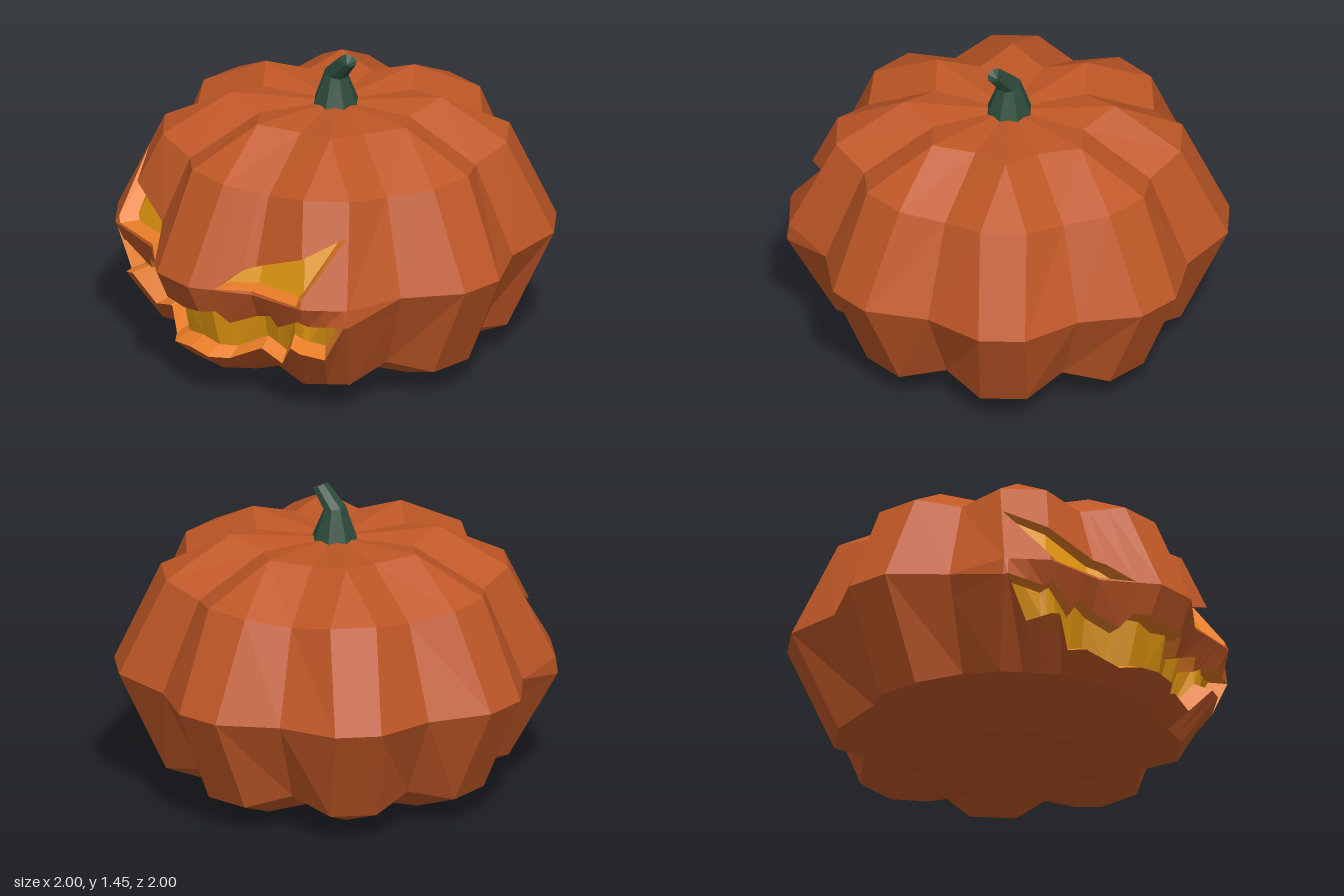
import * as THREE from 'three';

const mat = (name, color) => new THREE.MeshStandardMaterial({ name, color });
const lerp = (a, b, t) => a + (b - a) * t;
const mix = (p, q, t) => p.map((v, i) => lerp(v, q[i], t));

// Collects separate triangles (so shading stays flat), optionally mirrored in x.
class Facets {
  constructor(mirror) { this.mirror = mirror; this.pos = []; }
  tri(a, b, c) {
    const [A, B, C] = [a, b, c].map((p) => new THREE.Vector3(...p));
    if (B.sub(A).cross(C.sub(A)).length() < 1e-7) return;
    this.pos.push(...a, ...b, ...c);
    if (this.mirror) for (const p of [a, c, b]) this.pos.push(-p[0], p[1], p[2]);
  }
  quad(a, b, c, d) { this.tri(a, b, c); this.tri(a, c, d); }
  mesh(name, material) {
    const g = new THREE.BufferGeometry();
    g.setAttribute('position', new THREE.Float32BufferAttribute(this.pos, 3));
    g.computeVertexNormals();
    const m = new THREE.Mesh(g, material);
    m.name = name;
    return m;
  }
}

// Half ring from front centre to back centre: flat-topped ribs with valleys between.
function halfRing([R, w, y, valleyR, valleyY]) {
  const pts = [];
  for (let l = 0; l <= 4; l++) {
    const a = (l * Math.PI) / 4, s = Math.sin(a), c = Math.cos(a);
    const sides = l === 0 ? [0, 1] : l === 4 ? [-1, 0] : [-1, 1];
    for (const k of sides) pts.push([R * s + k * w * c, y, R * c - k * w * s]);
    if (l < 4) {
      const v = a + Math.PI / 8;
      pts.push([valleyR * Math.sin(v), valleyY, valleyR * Math.cos(v)]);
    }
  }
  return pts;
}

// rib radius, rib half width, rib height, valley radius, valley height
const rings = [
  [0, 0, 0.02, 0, 0.02],
  [0.48, 0, 0, 0.37, 0.035],
  [0.785, 0.106, 0.14, 0.69, 0.19],
  [1, 0.106, 0.61, 0.893, 0.6],
  [0.785, 0.106, 1.06, 0.705, 1.02],
  [0.48, 0, 1.23, 0.37, 1.195],
  [0, 0, 1.2, 0, 1.2],
].map(halfRing);
const LAST = rings[0].length - 1;

function ringAt(r, u) {
  const i = Math.min(Math.floor(u), LAST - 1);
  return mix(rings[r][i], rings[r][i + 1], u - i);
}
// Point on a row of panels at position u and height y, pushed out by k.
function skinAt(row, u, y, k) {
  const a = ringAt(row, u), b = ringAt(row + 1, u);
  const p = mix(a, b, (y - a[1]) / (b[1] - a[1]));
  return [p[0] * k, y, p[2] * k];
}
// Turns [x, y, k] outline points into [u, y, k] on the panels.
const outline = (row, pts) => pts.map(([x, y, k = 1]) => {
  let lo = 0, hi = 5;
  for (let i = 0; i < 40; i++) {
    const m = (lo + hi) / 2;
    if (skinAt(row, m, y, k)[0] < x) lo = m; else hi = m;
  }
  return [lo, y, k];
});
function along(curve, u) {
  if (u <= curve[0][0]) return curve[0];
  for (let i = 1; i < curve.length; i++) {
    const p = curve[i - 1], q = curve[i];
    if (u <= q[0]) return mix(p, q, (u - p[0]) / Math.max(q[0] - p[0], 1e-9));
  }
  return curve[curve.length - 1];
}

// Carved openings, keyed by panel row; the mouth's last point blends its lip into the side.
const holes = {
  2: {
    name: 'mouth', lift: 0.035,
    top: [[0, 0.45], [0.17, 0.475], [0.2, 0.41], [0.41, 0.5], [0.43, 0.44],
      [0.59, 0.53], [0.62, 0.505], [0.78, 0.53, 1.05], [9, 0.5]],
    bottom: [[0, 0.24, 1.07], [0.18, 0.22, 1.07], [0.31, 0.29, 1.07], [0.43, 0.25, 1.07],
      [0.54, 0.38, 1.07], [0.66, 0.33, 1.07], [0.78, 0.53, 1.05], [9, 0.5]],
  },
  3: {
    name: 'eyes', lift: 0.01,
    top: [[0.2, 0.612], [0.28, 0.7], [0.676, 0.915]],
    bottom: [[0.2, 0.612], [0.6, 0.618], [0.676, 0.915]],
  },
};

export function createModel() {
  const skinMat = mat('orange skin', 0xbf5726);
  const fleshMat = mat('cut flesh', 0xe67c26);
  const glowMat = mat('yellow glow', 0xdd930f);
  const stemMat = mat('dark green stem', 0x2c4a3a);
  const group = new THREE.Group();
  group.name = 'carvedPumpkin';
  const skin = new Facets(true);

  for (let row = 0; row < rings.length - 1; row++) {
    const hole = holes[row];
    let us = Array.from({ length: LAST + 1 }, (_, i) => i);
    let top, bottom, flesh, glow;
    if (hole) {
      top = outline(row, hole.top);
      bottom = outline(row, hole.bottom);
      us.push(...top.map((p) => p[0]), ...bottom.map((p) => p[0]));
      us = us.sort((a, b) => a - b).filter((u, i, a) => i === 0 || u - a[i - 1] > 1e-4);
      flesh = new Facets(true);
      glow = new Facets(true);
    }
    // Outer and inner edge of the opening at u
    const edge = (u) => {
      const t = along(top, u), b = along(bottom, u);
      const T = skinAt(row, u, t[1], t[2]), B = skinAt(row, u, b[1], b[2]);
      const rise = hole.lift * Math.min(1, Math.max(0, t[1] - b[1]) / 0.1);
      const inward = (p, dy) => [p[0] * 0.91, p[1] + dy, p[2] * 0.91];
      return { T, B, Ti: inward(T, 0), Bi: inward(B, rise), gap: t[1] - b[1] };
    };
    for (let i = 0; i < us.length - 1; i++) {
      const u0 = us[i], u1 = us[i + 1], mid = (u0 + u1) / 2;
      const a = ringAt(row, u0), b = ringAt(row, u1);
      const c = ringAt(row + 1, u1), d = ringAt(row + 1, u0);
      if (!hole || mid < top[0][0] || mid > top[top.length - 1][0]) {
        skin.quad(a, b, c, d);
        continue;
      }
      const p = edge(u0), q = edge(u1);
      skin.quad(a, b, q.B, p.B);
      skin.quad(p.T, q.T, c, d);
      if (edge(mid).gap < 0.002) continue;
      flesh.quad(p.B, q.B, q.Bi, p.Bi);
      flesh.quad(p.Ti, q.Ti, q.T, p.T);
      glow.quad(p.Bi, q.Bi, q.Ti, p.Ti);
    }
    if (hole) {
      group.add(flesh.mesh(hole.name + 'Rim', fleshMat), glow.mesh(hole.name + 'Glow', glowMat));
    }
  }
  group.add(skin.mesh('pumpkinSkin', skinMat));

  // Bent, tapering stem with a hollow tip: centre x, centre y, radius, tilt
  const stem = new Facets(false), N = 8;
  const loops = [[0, 1.19, 0.105, 0], [0, 1.34, 0.052, -0.25], [0.085, 1.43, 0.038, -0.45]]
    .map(([x, y, r, tilt]) => Array.from({ length: N }, (_, i) => {
      const a = ((i + 0.5) / N) * Math.PI * 2, s = Math.sin(a) * r * 1.05;
      return [x + s * Math.cos(tilt), y + s * Math.sin(tilt), Math.cos(a) * r * 1.05];
    }));
  for (let i = 0; i < N; i++) {
    const j = (i + 1) % N;
    for (let k = 0; k < 2; k++) {
      stem.quad(loops[k][i], loops[k][j], loops[k + 1][j], loops[k + 1][i]);
    }
    stem.tri(loops[2][i], loops[2][j], [0.075, 1.405, 0]);
  }
  group.add(stem.mesh('stem', stemMat));
  return group;
}
